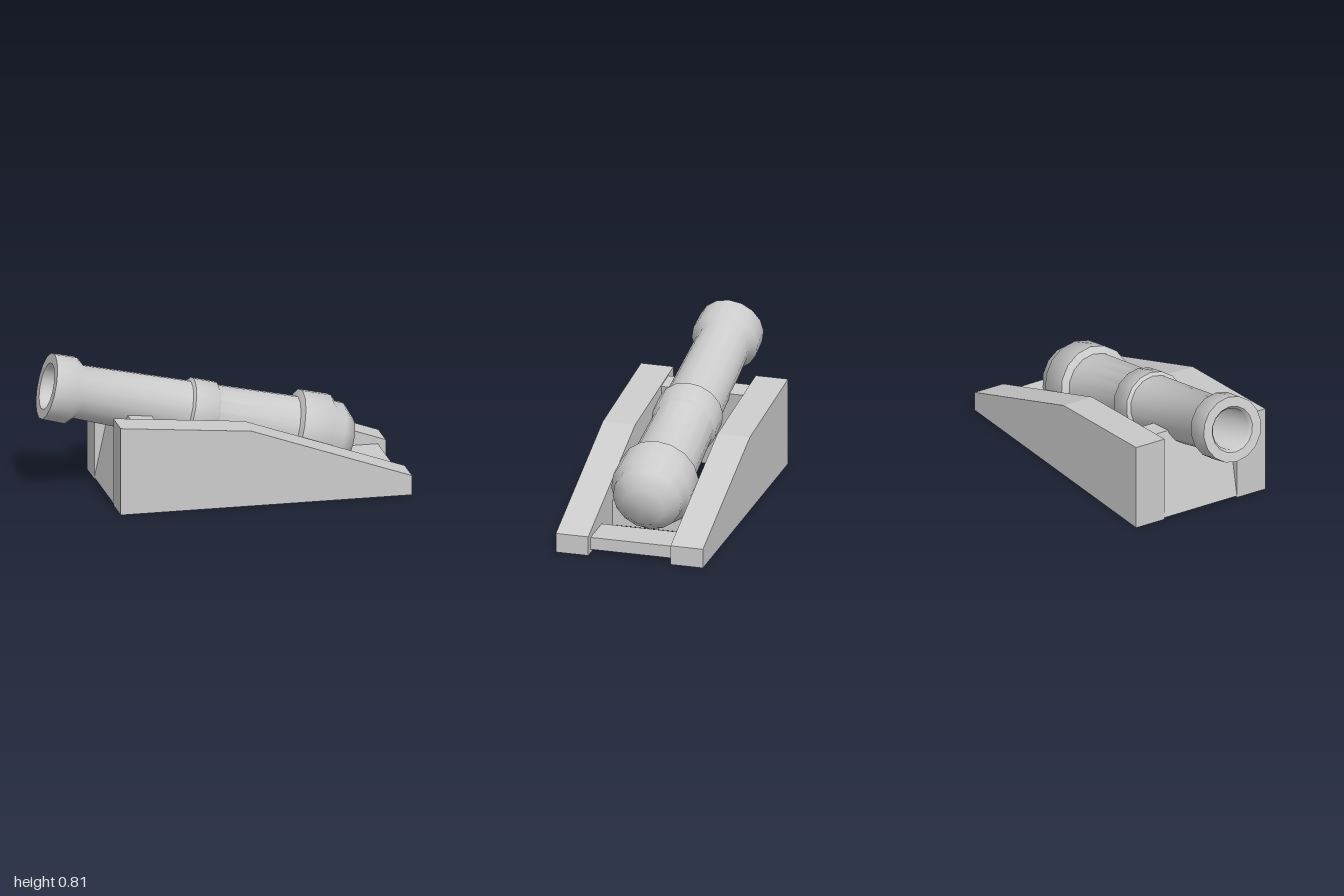
import * as THREE from 'three';
import { toCreasedNormals } from 'three/addons/utils/BufferGeometryUtils.js';

const material = new THREE.MeshStandardMaterial({ color: 0xcccccc });

function addMesh(group, name, geometry) {
  const mesh = new THREE.Mesh(geometry, material);
  mesh.name = name;
  group.add(mesh);
  return mesh;
}

// Side outline in x and y, extruded from z0 to z1
function slab(points, z0, z1) {
  const shape = new THREE.Shape(points.map(([x, y]) => new THREE.Vector2(x, y)));
  return new THREE.ExtrudeGeometry(shape, { depth: z1 - z0, bevelEnabled: false }).translate(0, 0, z0);
}

export function createModel() {
  const model = new THREE.Group();
  model.name = 'cannon';

  // Barrel: [radius, distance from muzzle], bore first, then outside to breech
  const profile = [
    [0, 0.7], [0.115, 0.7], [0.115, 0.02], [0.13, 0],
    [0.185, 0], [0.188, 0.13], [0.15, 0.174],
    [0.166, 0.793], [0.186, 0.804], [0.186, 0.938], [0.171, 0.952],
    [0.184, 1.408], [0.224, 1.423], [0.227, 1.587], [0.196, 1.616],
    [0.194, 1.668], [0.117, 1.744], [0, 1.746],
  ].map(([r, t]) => new THREE.Vector2(r, t));
  const barrel = addMesh(model, 'barrel', toCreasedNormals(new THREE.LatheGeometry(profile, 16), 0.9));
  barrel.position.set(-0.955, 0.632, 0);
  barrel.rotation.z = -(Math.PI / 2 + 0.245);

  // Carriage cheeks on both sides
  const cheek = [[-0.635, 0], [1, 0], [1, 0.11], [0.1, 0.43], [-0.635, 0.497]];
  addMesh(model, 'frontCheek', slab(cheek, 0.235, 0.42));
  addMesh(model, 'backCheek', slab(cheek, -0.42, -0.235));

  // Cross pieces between the cheeks
  const crossPieces = {
    slantedTransom: [[-0.635, 0.01], [-0.5, 0.005], [-0.4, 0.469], [-0.535, 0.481]],
    middlePlank: [[0.315, 0.005], [0.53, 0.005], [0.53, 0.15], [0.315, 0.15]],
    rearPlank: [[0.74, 0.02], [0.955, 0.02], [0.955, 0.09], [0.74, 0.09]],
  };
  for (const [name, outline] of Object.entries(crossPieces)) {
    addMesh(model, name, slab(outline, -0.235, 0.235));
  }
  return model;
}
